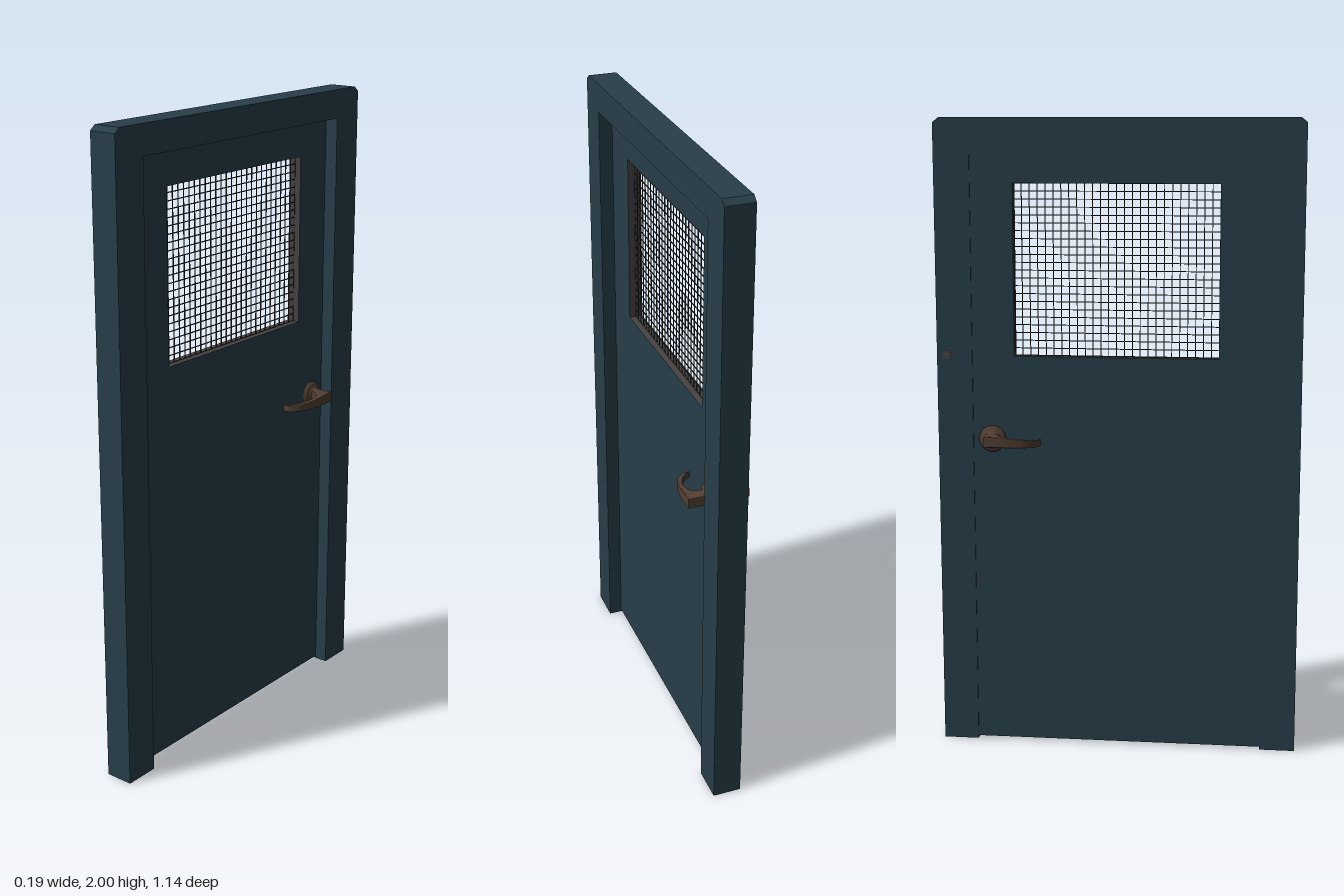
import * as THREE from 'three';

const paint = new THREE.MeshStandardMaterial({ color: 0x273e49 });
paint.name = 'slate blue paint';
const core = new THREE.MeshStandardMaterial({ color: 0x464241 });
core.name = 'dark grey edge';
const bronze = new THREE.MeshStandardMaterial({ color: 0x533f33 });
bronze.name = 'dark bronze';
const wire = new THREE.MeshStandardMaterial({ color: 0x303132 });
wire.name = 'dark wire';

const outline = (pts) => new THREE.Shape(pts.map(([x, y]) => new THREE.Vector2(x, y)));

function addMesh(parent, name, geometry, material) {
  const mesh = new THREE.Mesh(geometry, material);
  mesh.name = name;
  parent.add(mesh);
  return mesh;
}

// Extrudes a (z, y) outline along x, between x0 and x1
function slab(shape, x0, x1) {
  const geo = new THREE.ExtrudeGeometry(shape, { depth: x1 - x0, bevelEnabled: false });
  return geo.rotateY(-Math.PI / 2).translate(x1, 0, 0);
}

// Lever handle on one face of the door; side is +1 or -1 along x
function makeHandle(name, side, surfaceX) {
  const handle = new THREE.Group();
  handle.name = name;
  const y = 1.005, z = -0.397;

  // Stepped round rose and neck, turned about x
  const profile = [[0, 0], [0.042, 0], [0.042, 0.007], [0.038, 0.012], [0.026, 0.013],
    [0.024, 0.02], [0.018, 0.023], [0.018, 0.06], [0, 0.06]]
    .map(([r, h]) => new THREE.Vector2(r, h));
  const rose = addMesh(handle, 'handleRose', new THREE.LatheGeometry(profile, 28), bronze);
  rose.geometry.rotateZ(-side * Math.PI / 2);
  rose.position.set(surfaceX, y, z);

  // Curved lever, drawn as seen from above: (distance from door, z)
  const shape = new THREE.Shape();
  const at = (a, pz) => [side * a, -pz];
  shape.moveTo(...at(0.022, -0.412));
  shape.lineTo(...at(0.07, -0.412));
  shape.bezierCurveTo(...at(0.074, -0.33), ...at(0.062, -0.25), ...at(0.008, -0.245));
  shape.bezierCurveTo(...at(0.042, -0.262), ...at(0.056, -0.3), ...at(0.056, -0.335));
  shape.bezierCurveTo(...at(0.055, -0.365), ...at(0.048, -0.377), ...at(0.022, -0.378));
  shape.closePath();
  const geo = new THREE.ExtrudeGeometry(shape, {
    depth: 0.026, curveSegments: 14, bevelEnabled: true,
    bevelThickness: 0.004, bevelSize: 0.003, bevelSegments: 2,
  });
  geo.translate(0, 0, -0.013).rotateX(-Math.PI / 2);

  // Taper the lever toward its tip and let it droop a little
  const p = geo.attributes.position;
  for (let i = 0; i < p.count; i++) {
    const t = THREE.MathUtils.clamp((p.getZ(i) + 0.38) / 0.14, 0, 1);
    p.setY(i, p.getY(i) * (1 - 0.4 * t) - 0.01 * t);
  }
  geo.computeVertexNormals();
  addMesh(handle, 'handleLever', geo, bronze).position.set(surfaceX, y, 0);
  return handle;
}

export function createModel() {
  const model = new THREE.Group();
  model.name = 'door';

  // Door frame: two jambs and a head with clipped top corners
  const frame = outline([
    [-0.571, 0], [-0.459, 0], [-0.459, 1.91], [0.459, 1.91], [0.459, 0], [0.571, 0],
    [0.571, 1.985], [0.552, 2], [-0.552, 2], [-0.571, 1.985],
  ]);
  addMesh(model, 'doorFrame', slab(frame, -0.026, 0.064), paint);

  // Door leaf with a window opening; its edges are bare
  const win = { z0: -0.326, z1: 0.314, y0: 1.267, y1: 1.802 };
  const leaf = outline([[-0.46, 0.008], [0.46, 0.008], [0.46, 1.912], [-0.46, 1.912]]);
  leaf.holes.push(outline([
    [win.z0, win.y0], [win.z0, win.y1], [win.z1, win.y1], [win.z1, win.y0],
  ]));
  const backX = -0.022, frontX = 0.021;
  addMesh(model, 'doorLeaf', slab(leaf, backX, frontX), [paint, core]);

  // Wire mesh in the window
  const mesh = new THREE.Group();
  mesh.name = 'windowMesh';
  mesh.position.set((backX + frontX) / 2, (win.y0 + win.y1) / 2, (win.z0 + win.z1) / 2);
  model.add(mesh);
  const w = win.z1 - win.z0, h = win.y1 - win.y0, thick = 0.0027;
  const columns = 26, rows = 22;
  const upright = new THREE.BoxGeometry(thick, h, thick);
  const crossbar = new THREE.BoxGeometry(thick, thick, w);
  for (let i = 0; i <= columns; i++) {
    addMesh(mesh, 'verticalWire', upright, wire).position.z = w * (i / columns - 0.5);
  }
  for (let i = 0; i <= rows; i++) {
    addMesh(mesh, 'horizontalWire', crossbar, wire).position.y = h * (i / rows - 0.5);
  }

  // A lever on each face
  model.add(makeHandle('frontHandle', 1, frontX + 0.002));
  model.add(makeHandle('backHandle', -1, backX - 0.002));

  // Small round plug on the back of the lock-side jamb
  const plug = new THREE.CylinderGeometry(0.014, 0.014, 0.004, 16).rotateZ(Math.PI / 2);
  addMesh(model, 'jambPlug', plug, core).position.set(-0.026, 1.27, -0.54);
  return model;
}
